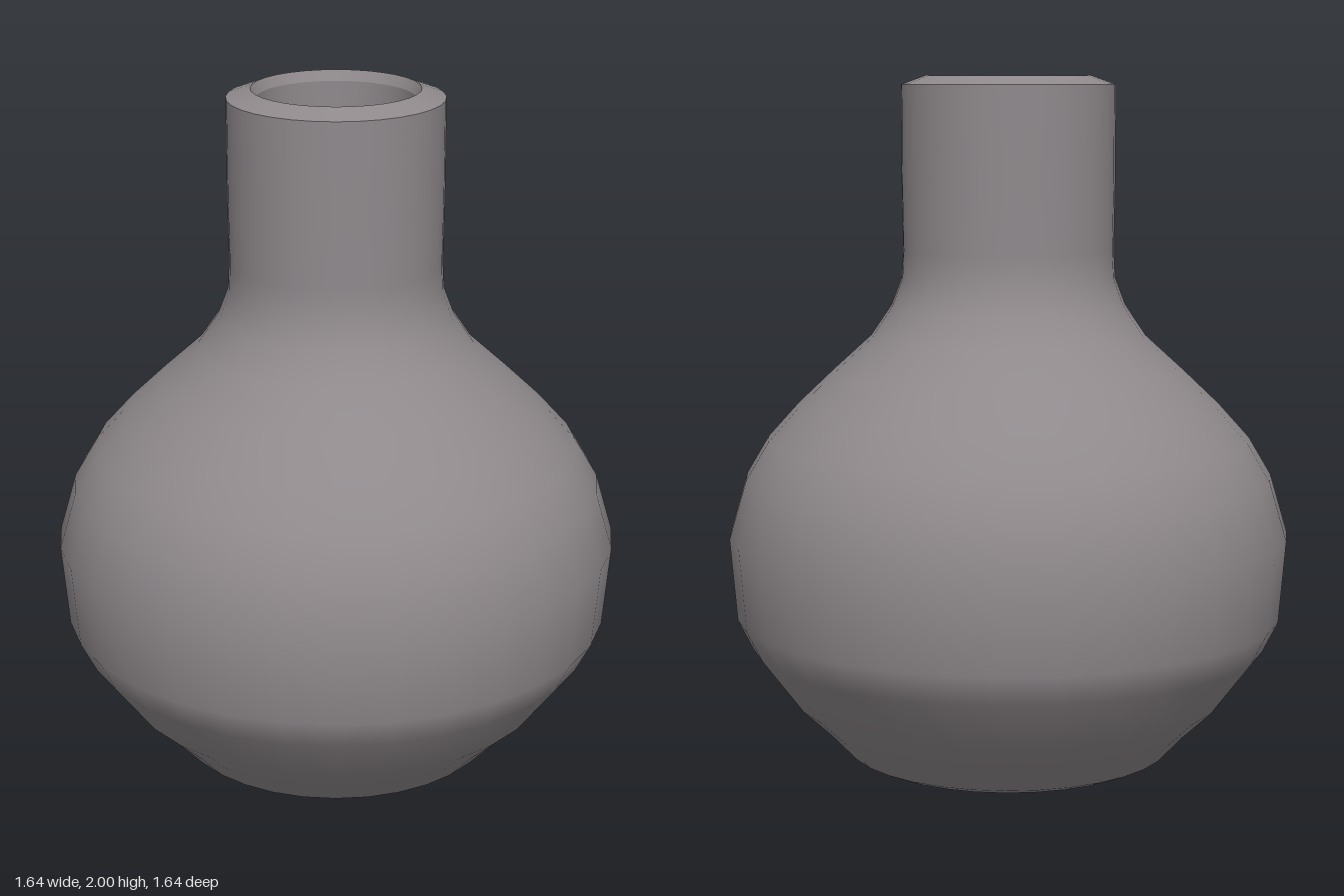
import * as THREE from 'three';

const SEGMENTS = 32;

export function createModel() {
  const group = new THREE.Group();
  group.name = 'bottle';
  const clay = new THREE.MeshStandardMaterial({ color: 0x8f898c });
  clay.name = 'warm grey clay';

  // Each surface is turned separately so that the edges between them stay sharp.
  const turn = (name, profile) => {
    const points = profile.map(([r, y]) => new THREE.Vector2(r, y));
    const mesh = new THREE.Mesh(new THREE.LatheGeometry(points, SEGMENTS), clay);
    mesh.name = name;
    group.add(mesh);
  };

  // Flat underside
  turn('base', [[0, 0], [0.43, 0]]);

  // Round belly, shoulder and straight neck
  turn('body', [
    [0.43, 0], [0.475, 0.02], [0.55, 0.1], [0.635, 0.18], [0.755, 0.34], [0.8, 0.43],
    [0.82, 0.67], [0.77, 0.84], [0.705, 0.95], [0.615, 1.05], [0.51, 1.15],
    [0.4, 1.25], [0.34, 1.34], [0.31, 1.42], [0.306, 1.5], [0.309, 1.7], [0.309, 1.975],
  ]);

  // Sloping lip and its inner bevel
  turn('lip', [[0.309, 1.975], [0.24, 2]]);
  turn('innerLip', [[0.24, 2], [0.225, 1.97]]);

  // Hollow inside, following the outer wall
  turn('innerWall', [
    [0.225, 1.97], [0.225, 1.42], [0.27, 1.29], [0.35, 1.19], [0.56, 0.99],
    [0.69, 0.81], [0.735, 0.66], [0.72, 0.46], [0.58, 0.24], [0.42, 0.08],
  ]);
  turn('innerFloor', [[0.42, 0.08], [0, 0.08]]);

  return group;
}
